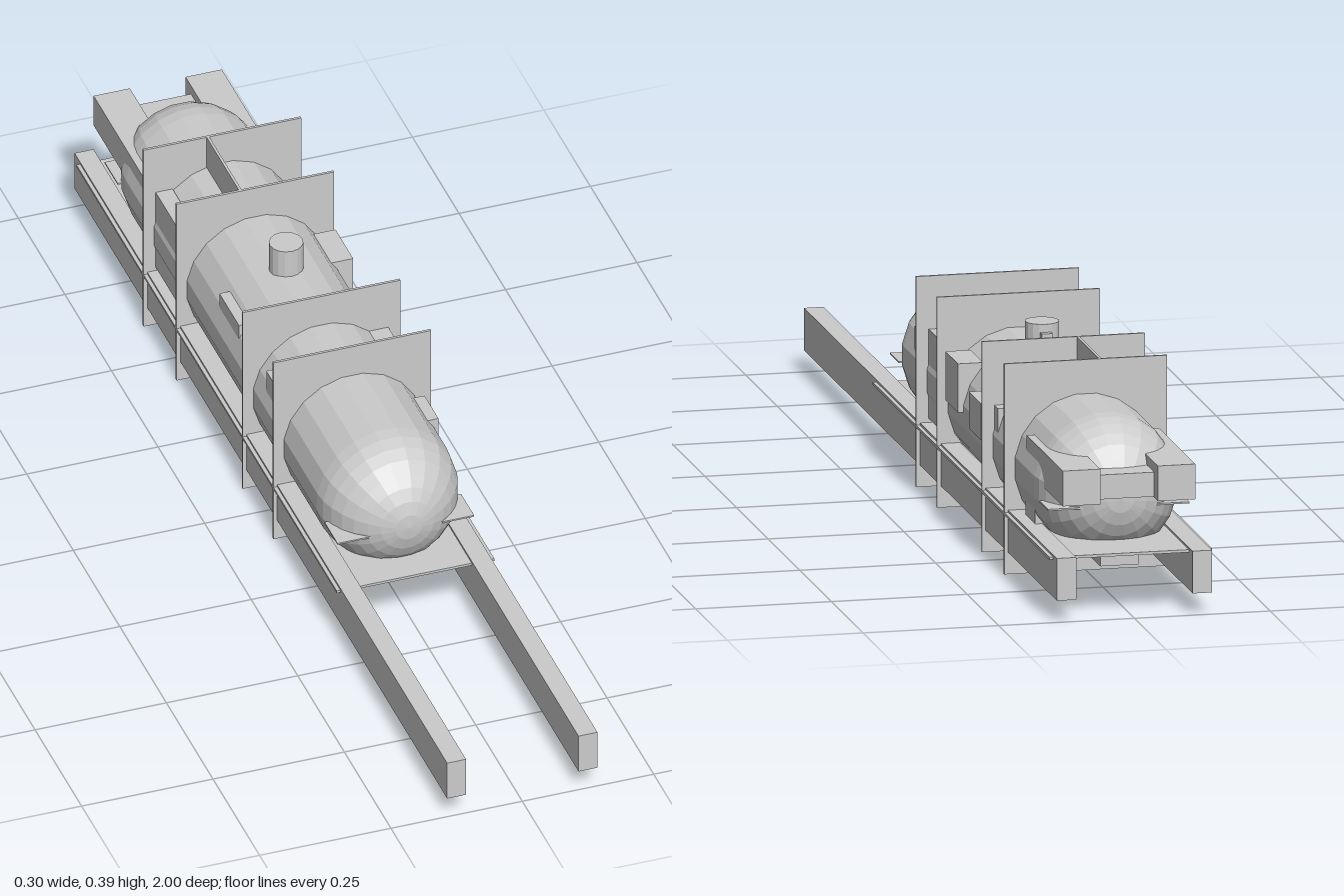
import * as THREE from 'three';

const material = new THREE.MeshStandardMaterial({ color: 0xcccccc, flatShading: true });

export function createModel() {
  const model = new THREE.Group();
  model.name = 'capsuleOnRails';

  const add = (name, geometry) => {
    const mesh = new THREE.Mesh(geometry, material);
    mesh.name = name;
    model.add(mesh);
    return mesh;
  };
  // Box given by its extents along each axis
  const box = (name, [x0, x1], [y0, y1], [z0, z1]) => {
    const mesh = add(name, new THREE.BoxGeometry(x1 - x0, y1 - y0, z1 - z0));
    mesh.position.set((x0 + x1) / 2, (y0 + y1) / 2, (z0 + z1) / 2);
    return mesh;
  };
  // The same box on both sides
  const pair = (name, [x0, x1], y, z) => {
    box(name + 'Left', [x0, x1], y, z);
    box(name + 'Right', [-x1, -x0], y, z);
  };

  // Hull: twenty-sided capsule with a flat facet on top
  const radius = 0.1316, sides = 20, rings = 8;
  const profile = [];
  for (let i = 0; i <= rings; i++) {
    const a = (i / rings) * Math.PI / 2;
    profile.push(new THREE.Vector2(radius * Math.sin(a), -0.515 - 0.13 * Math.cos(a)));
  }
  for (let i = rings; i >= 0; i--) profile.push(new THREE.Vector2(profile[i].x, -profile[i].y));
  const hullGeometry = new THREE.LatheGeometry(profile, sides);
  hullGeometry.rotateY(Math.PI / sides);
  hullGeometry.rotateX(Math.PI / 2);
  add('hull', hullGeometry).position.set(0, 0.195, -0.25);

  // Carrying frame: two long rails, a deck and four bulkheads
  pair('rail', [0.107, 0.143], [0.04, 0.118], [-1, 1]);
  box('deck', [-0.15, 0.15], [0.109, 0.114], [-0.97, 0.427]);
  for (const z of [0.085, -0.08, -0.435, -0.612]) {
    box('bulkhead', [-0.15, 0.15], [0, 0.388], [z - 0.0025, z + 0.0025]);
  }
  box('dividerWall', [-0.03, -0.025], [0.3, 0.388], [-0.61, -0.435]);

  // Hatch tower with a small latch
  const tower = add('hatchTower', new THREE.CylinderGeometry(0.031, 0.031, 0.07, 16));
  tower.position.set(0, 0.345, -0.268);
  box('hatchLatch', [-0.01, 0.01], [0.33, 0.365], [-0.31, -0.29]);

  // Stern: two thruster housings, the bridge between them and a keel block
  pair('sternHousing', [0.053, 0.122], [0.203, 0.268], [-0.957, -0.67]);
  box('sternBridge', [-0.053, 0.053], [0.205, 0.25], [-0.928, -0.86]);
  box('keelBlock', [-0.035, 0.035], [0.07, 0.105], [-0.88, -0.8]);

  // Thin horizontal fins at bow and stern
  pair('bowFin', [0.06, 0.13], [0.176, 0.179], [0.305, 0.375]);
  pair('sternFin', [0.06, 0.13], [0.176, 0.179], [-0.875, -0.805]);

  // Equipment boxes on the left side: x, y and z extents
  [
    [[0.1, 0.127], [0.21, 0.27], [0.117, 0.192]],
    [[0.09, 0.127], [0.125, 0.29], [-0.08, 0.085]],
    [[0.093, 0.14], [0.203, 0.293], [-0.205, -0.105]],
    [[0.103, 0.148], [0.203, 0.27], [-0.42, -0.325]],
    [[0.103, 0.127], [0.21, 0.27], [-0.465, -0.435]],
    [[0.06, 0.12], [0.112, 0.15], [-0.73, -0.655]],
  ].forEach(e => box('leftEquipmentBox', ...e));

  // Equipment boxes on the right side
  [
    [[-0.122, -0.085], [0.2, 0.285], [-0.03, 0.05]],
    [[-0.119, -0.095], [0.22, 0.28], [-0.29, -0.185]],
    [[-0.127, -0.095], [0.125, 0.29], [-0.612, -0.435]],
  ].forEach(e => box('rightEquipmentBox', ...e));

  return model;
}
